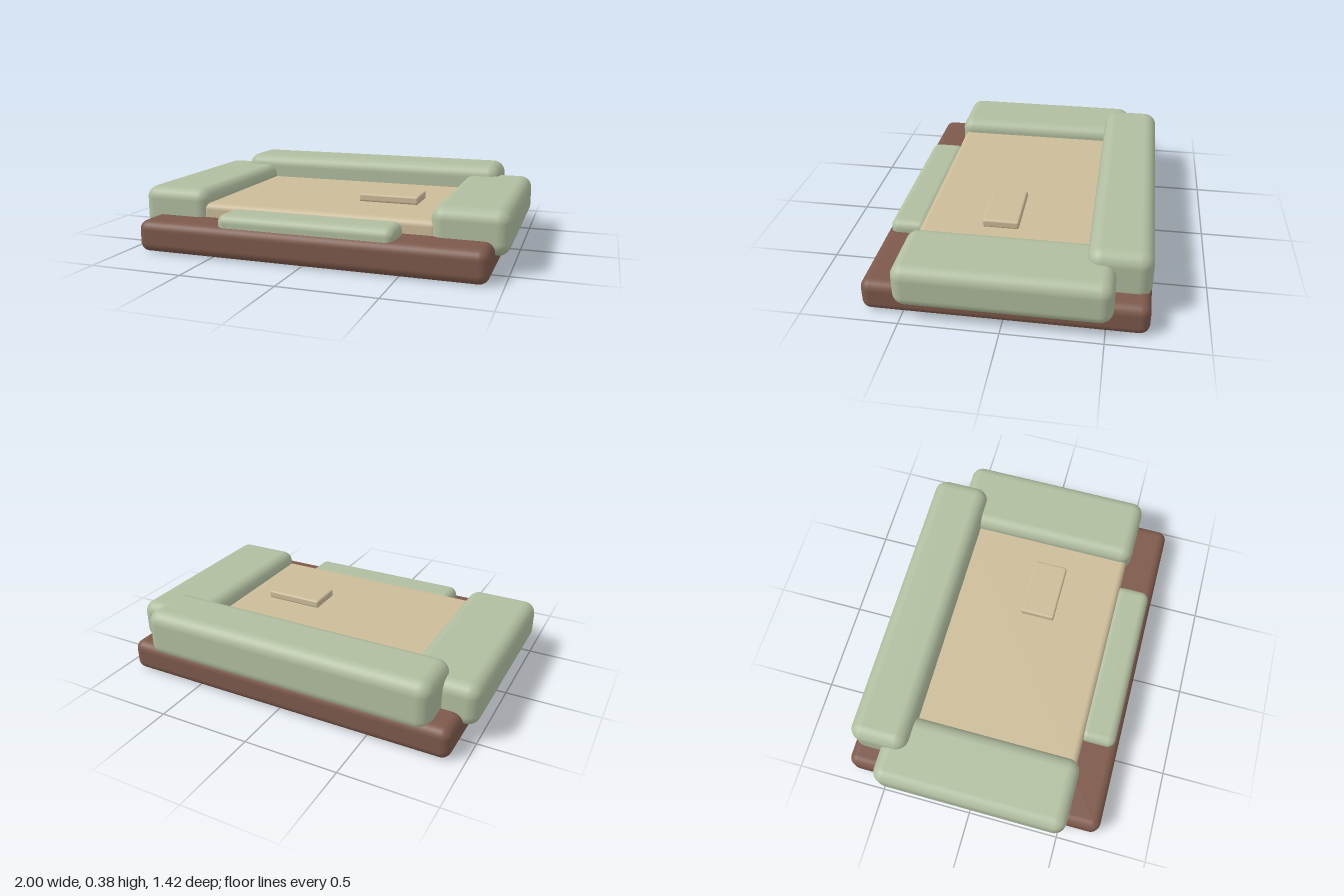
import * as THREE from 'three';
import { RoundedBoxGeometry } from 'three/addons/geometries/RoundedBoxGeometry.js';

export function createModel() {
  const group = new THREE.Group();
  group.name = 'cushionedBed';

  const material = (name, color) => {
    const m = new THREE.MeshStandardMaterial({ color });
    m.name = name;
    return m;
  };
  const brown = material('brown base', 0x7d594b);
  const sage = material('sage fabric', 0xb0bd9f);
  const tan = material('tan fabric', 0xcbbb98);

  // Rounded block given by its extents along each axis
  const block = (name, mat, [x0, x1], [y0, y1], [z0, z1], radius) => {
    const geometry = new RoundedBoxGeometry(x1 - x0, y1 - y0, z1 - z0, 5, radius);
    const mesh = new THREE.Mesh(geometry, mat);
    mesh.name = name;
    mesh.position.set((x0 + x1) / 2, (y0 + y1) / 2, (z0 + z1) / 2);
    group.add(mesh);
    return mesh;
  };

  // Base slab and sleeping pad
  block('base', brown, [-0.93, 0.93], [0, 0.17], [-0.71, 0.71], 0.05);
  block('mattress', tan, [-0.65, 0.65], [0.12, 0.245], [-0.5, 0.51], 0.035);

  // Bolsters around the pad
  block('backBolster', sage, [-0.82, 0.82], [0.11, 0.38], [-0.71, -0.39], 0.07);
  block('leftBolster', sage, [0.61, 1], [0.09, 0.32], [-0.535, 0.53], 0.065);
  block('rightBolster', sage, [-1, -0.61], [0.09, 0.32], [-0.535, 0.53], 0.065);
  block('frontBolster', sage, [-0.475, 0.475], [0.11, 0.23], [0.485, 0.685], 0.045);

  // Small flat pad resting on the mattress
  block('smallPad', tan, [0.14, 0.47], [0.243, 0.288], [-0.013, 0.18], 0.012);

  return group;
}
